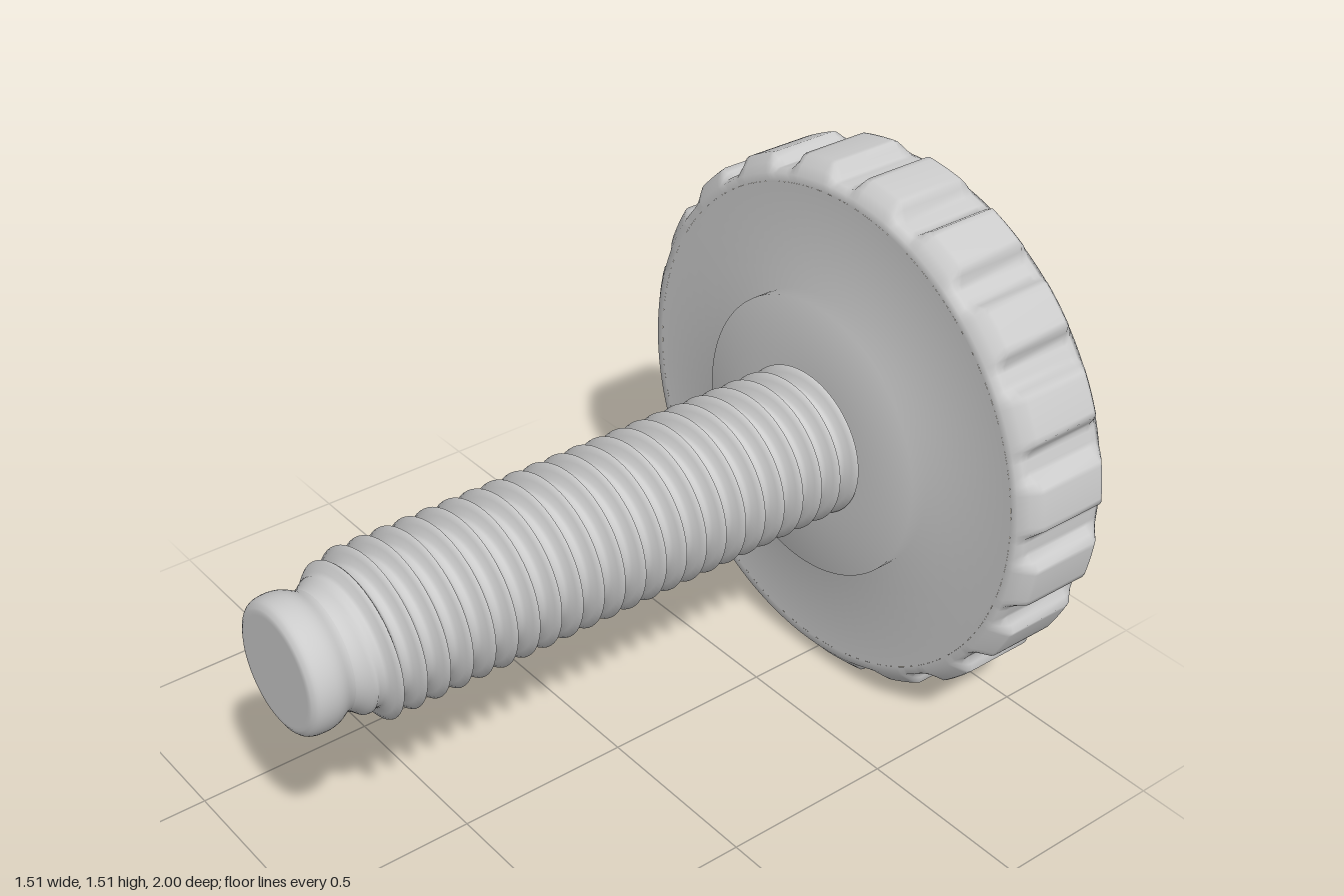
import * as THREE from 'three';
import { mergeVertices } from 'three/addons/utils/BufferGeometryUtils.js';

const material = new THREE.MeshStandardMaterial({ color: 0xcccccc });
const RIDGES = 20;

// Revolves [radius, z] points, listed from back to front, around the z axis.
function lathe(points, segments = 96) {
  const profile = points.map(([r, z]) => new THREE.Vector2(r, z));
  return new THREE.LatheGeometry(profile, segments).rotateX(Math.PI / 2);
}

// Rounds a few [radius, z] points into a smooth profile.
function rounded(points, divisions = 16) {
  const curve = new THREE.SplineCurve(points.map(([r, z]) => new THREE.Vector2(r, z)));
  return curve.getPoints(divisions).map((p) => [Math.max(p.x, 0), p.y]);
}

// Grip rim: a revolved ring whose outer vertices are pressed in between the ridges.
function rimGeometry() {
  let geometry = lathe([
    [0.57, -0.955], [0.58, -0.98], [0.60, -0.995], [0.63, -1], [0.712, -1],
    [0.735, -0.98], [0.754, -0.96], [0.757, -0.95], [0.757, -0.75], [0.754, -0.74],
    [0.735, -0.72], [0.712, -0.70], [0.69, -0.70],
  ], RIDGES * 16);
  const pos = geometry.attributes.position;
  for (let i = 0; i < pos.count; i++) {
    const x = pos.getX(i), y = pos.getY(i);
    const r = Math.hypot(x, y);
    // 0 in the middle of a valley, 0.5 in the middle of a ridge
    const phase = (Math.atan2(y, x) / (2 * Math.PI)) * RIDGES;
    const fromValley = Math.abs(phase - Math.round(phase));
    const ridge = THREE.MathUtils.smoothstep(fromValley, 0.12, 0.25);
    const pressed = THREE.MathUtils.lerp(Math.min(r, 0.72), r, ridge);
    pos.setXY(i, (x * pressed) / r, (y * pressed) / r);
  }
  geometry.deleteAttribute('normal');
  geometry.deleteAttribute('uv');
  geometry = mergeVertices(geometry, 1e-4);
  geometry.computeVertexNormals();
  return geometry;
}

// Right-hand thread: rows of vertices follow the helix, tapering into the neck.
function threadGeometry() {
  const heights = [1, 0.55, 0.12, 0, 0, 0, 0.12, 0.55];
  const pitch = 0.0645, start = -0.76, end = 0.88, sides = 64;
  const root = 0.175, crest = 0.216;
  const steps = heights.length;
  const rows = Math.ceil((end - start) / pitch + 1) * steps;
  const positions = [], index = [];
  for (let k = 0; k <= rows; k++) {
    for (let j = 0; j <= sides; j++) {
      const angle = (j / sides) * Math.PI * 2;
      const z = Math.min(start + pitch * (k / steps + j / sides - 1), end);
      const full = root + (crest - root) * heights[k % steps];
      const limit = THREE.MathUtils.lerp(0.222, 0.155, THREE.MathUtils.smoothstep(z, 0.77, end));
      const r = Math.min(full, limit);
      positions.push(r * Math.cos(angle), r * Math.sin(angle), z);
      if (k < rows && j < sides) {
        const a = k * (sides + 1) + j, b = a + sides + 1;
        index.push(a, a + 1, b + 1, a, b + 1, b);
      }
    }
  }
  let geometry = new THREE.BufferGeometry();
  geometry.setAttribute('position', new THREE.Float32BufferAttribute(positions, 3));
  geometry.setIndex(index);
  geometry = mergeVertices(geometry, 1e-4);
  geometry.computeVertexNormals();
  return geometry;
}

export function createModel() {
  const group = new THREE.Group();
  group.name = 'thumbScrew';

  const add = (name, geometry) => {
    const mesh = new THREE.Mesh(geometry, material);
    mesh.name = name;
    mesh.position.y = 0.757;
    group.add(mesh);
  };

  // Knob
  add('gripRim', rimGeometry());
  add('frontFaceAndCollar', lathe([[0.69, -0.70], [0.40, -0.70], [0.40, -0.645], [0.16, -0.645]]));
  add('backRing', lathe(rounded([
    [0.30, -0.925], [0.36, -0.95], [0.44, -0.972], [0.51, -0.972], [0.57, -0.955],
  ])));
  add('backDome', lathe(rounded([[0, -0.985], [0.10, -0.979], [0.20, -0.96], [0.30, -0.925]])));

  // Shaft
  add('thread', threadGeometry());
  add('tip', lathe([
    ...rounded([[0.153, 0.87], [0.157, 0.89], [0.17, 0.915], [0.176, 0.94], [0.175, 0.97], [0.167, 0.99], [0.15, 1]]),
    [0.14, 1], [0, 1],
  ], 64));

  return group;
}
